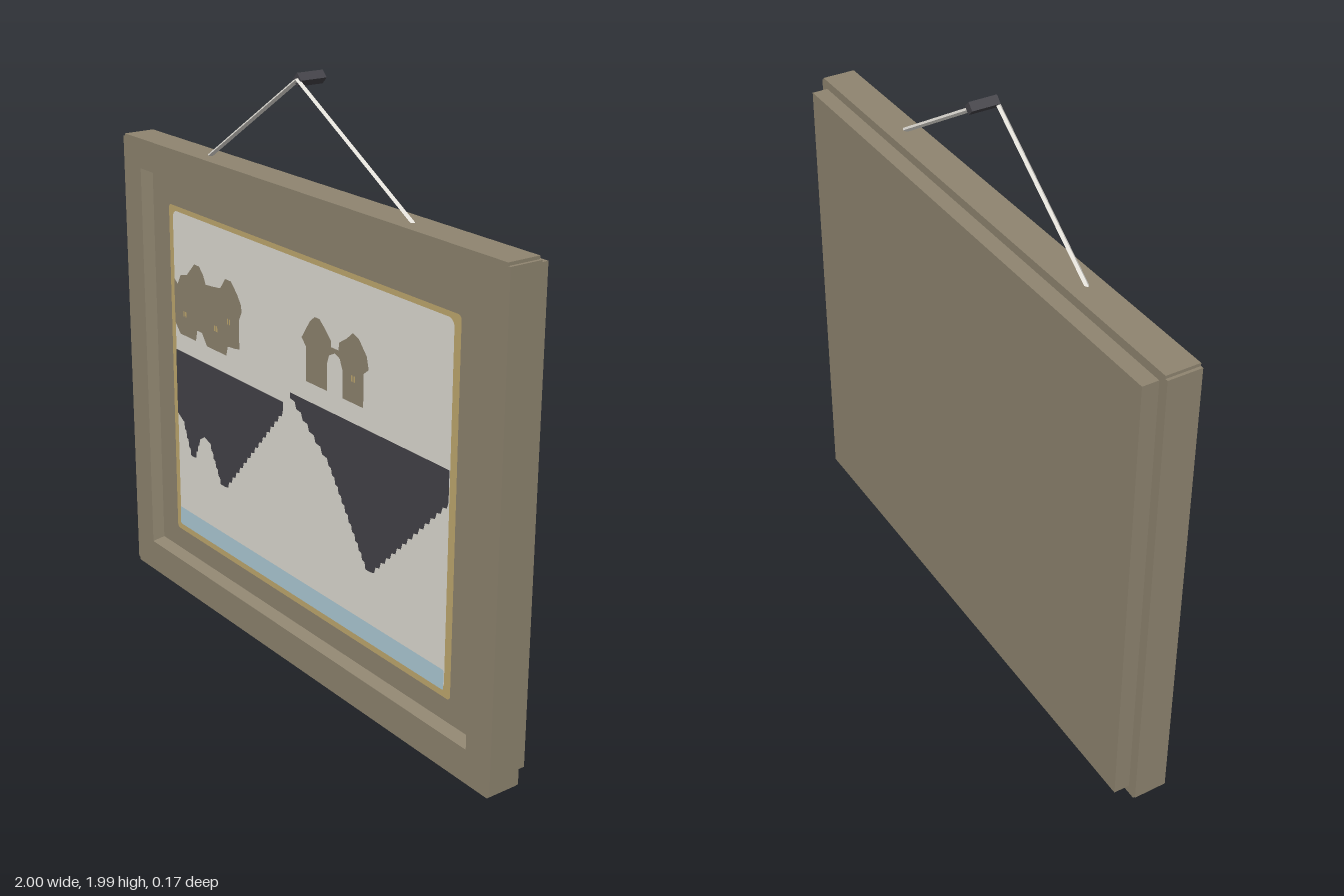
import * as THREE from 'three';

const mat = (name, color) => {
  const m = new THREE.MeshStandardMaterial({ color });
  m.name = name;
  return m;
};

export function createModel() {
  const group = new THREE.Group();
  const wood = mat('taupe wood', 0x8f8570);
  const cream = mat('cream paper', 0xe0ddd4);
  const gold = mat('dull gold', 0xc2aa70);
  const dark = mat('charcoal', 0x444349);
  const water = mat('pale blue', 0xafcdd8);
  const wire = mat('light grey wire', 0xe0ddd6);

  const add = (name, geometry, material, x = 0, y = 0, z = 0) => {
    const m = new THREE.Mesh(geometry, material);
    m.name = name;
    m.position.set(x, y, z);
    group.add(m);
    return m;
  };

  // Rounded rectangle centred on x = 0
  const rect = (hw, y0, y1, r) => {
    const corners = [[hw - r, y0 + r, -90], [hw - r, y1 - r, 0], [-hw + r, y1 - r, 90], [-hw + r, y0 + r, 180]];
    const pts = [];
    for (const [x, y, a] of corners) {
      for (let i = 0; i <= 5; i++) {
        const t = THREE.MathUtils.degToRad(a + 18 * i);
        pts.push(new THREE.Vector2(x + r * Math.cos(t), y + r * Math.sin(t)));
      }
    }
    return new THREE.Shape(pts);
  };

  // Points are given in hundredths
  const poly = (pts) => new THREE.Shape(pts.map(([x, y]) => new THREE.Vector2(x / 100, y / 100)));

  // Outer frame with small notched corners and its opening
  const outline = poly([[-99, 0], [99, 0], [99, 1], [100, 1], [100, 163], [99, 163], [99, 164],
    [-99, 164], [-99, 163], [-100, 163], [-100, 1], [-99, 1]]);
  const hole = [[-0.89, 0.115], [-0.89, 1.535], [0.89, 1.535], [0.89, 0.115]];
  outline.holes.push(new THREE.Path(hole.map(([x, y]) => new THREE.Vector2(x, y))));
  add('frame', new THREE.ExtrudeGeometry(outline, { depth: 0.114, bevelEnabled: false }), wood, 0, 0, -0.03);

  // Sloping lip between the frame face and the panel
  const lip = [];
  const inner = hole.map(([x, y]) => [x - 0.015 * Math.sign(x), y + (y < 0.8 ? 0.015 : -0.015)]);
  for (let i = 0; i < 4; i++) {
    const j = (i + 1) % 4;
    const a = [...hole[i], 0.084], b = [...hole[j], 0.084];
    const c = [...inner[j], 0.045], d = [...inner[i], 0.045];
    lip.push(...a, ...c, ...b, ...a, ...d, ...c);
  }
  const lipGeo = new THREE.BufferGeometry();
  lipGeo.setAttribute('position', new THREE.Float32BufferAttribute(lip, 3));
  lipGeo.computeVertexNormals();
  add('frameLip', lipGeo, wood);

  // Panel inside the frame and the backing board
  add('panel', new THREE.BoxGeometry(1.78, 1.42, 0.074), wood, 0, 0.825, 0.008);
  add('backBoard', new THREE.BoxGeometry(1.93, 1.578, 0.056), wood, 0, 0.821, -0.057);

  // Painting: gold border, paper and water
  const flat = (name, shape, material, z) => add(name, new THREE.ShapeGeometry(shape), material, 0, 0, z);
  flat('goldBorder', rect(0.77, 0.21, 1.43, 0.015), gold, 0.047);
  flat('paper', rect(0.743, 0.235, 1.413, 0.025), cream, 0.049);
  flat('water', rect(0.742, 0.235, 0.303, 0.006), water, 0.051);

  // Stepped edges for sloping sides
  const stepped = (pts) => {
    const out = [];
    pts.forEach(([x, y], i) => {
      const [u, v] = pts[(i + 1) % pts.length];
      const n = u === x || v === y ? 1 : Math.max(1, Math.round(Math.abs(v - y) / 2.7));
      for (let k = 0; k < n; k++) {
        const px = x + (u - x) * k / n, py = y + (v - y) * k / n;
        out.push([px, py]);
        if (n > 1) out.push([px + (u - x) * 0.75 / n, py + (v - y) * 0.15 / n]);
      }
    });
    return poly(out);
  };
  flat('leftFloatingIsland', stepped([[-74.2, 91], [-74.2, 67], [-71, 65], [-66, 53], [-63.5, 53], [-60, 61],
    [-57, 63], [-54, 62], [-47, 48.5], [-44, 48.5], [-9, 88], [-9, 91]]), dark, 0.051);
  flat('rightFloatingIsland', stepped([[-5, 95.5], [-5, 93.5], [16, 77], [35.5, 48.5], [38, 48.5], [74.2, 85.5],
    [74.2, 95.5]]), dark, 0.051);

  // House silhouettes
  flat('leftHouses', poly([[-74.2, 117], [-72, 115.5], [-70, 119], [-66, 120], [-63, 123], [-61, 125], [-58, 125],
    [-55.5, 122.5], [-54, 119.5], [-49, 120], [-45, 120.5], [-42, 124.5], [-38.5, 124.5], [-35, 121],
    [-32.5, 117.5], [-32.5, 115], [-34, 112], [-34, 102], [-36, 101.5], [-41, 101], [-42, 97.5], [-54, 97.5],
    [-57, 101.5], [-60, 101.5], [-61, 97.5], [-71, 97.5], [-74.2, 101]]), wood, 0.051);
  flat('rightHouses', poly([[1.5, 116], [6, 122.5], [8.5, 124.5], [11, 124.5], [14, 122], [17, 119], [17, 117],
    [21, 117], [21, 119.5], [25, 122], [28, 124.5], [31, 123.5], [35, 119], [36, 115], [33.5, 113], [33.5, 102],
    [23, 102], [23, 111], [21.5, 114.5], [19, 115.5], [16, 114], [15, 111], [15, 102], [4, 102], [4, 113.5]]),
  wood, 0.051);
  for (const [x, y] of [[-0.4, 1.1], [-0.675, 1.055], [-0.48, 1.055], [0.285, 1.1]]) {
    for (const s of [-1, 1]) add('window', new THREE.PlaneGeometry(0.008, 0.02), gold, x + s * 0.006, y, 0.053);
  }

  // Hanging wires
  const top = new THREE.Vector3(0, 1.97, 0.053);
  for (const side of [-1, 1]) {
    const end = new THREE.Vector3(side * 0.535, 1.635, 0.03);
    const dir = top.clone().sub(end);
    const geo = new THREE.CylinderGeometry(0.008, 0.008, dir.length(), 4).toNonIndexed();
    geo.computeVertexNormals();
    const m = add(side > 0 ? 'leftWire' : 'rightWire', geo, wire);
    m.position.copy(end).addScaledVector(dir, 0.5);
    m.quaternion.setFromUnitVectors(new THREE.Vector3(0, 1, 0), dir.normalize());
  }

  // Four-sided peg the wires hang from
  const pegGeo = new THREE.CylinderGeometry(0.021, 0.021, 0.095, 4).rotateX(Math.PI / 2).toNonIndexed();
  pegGeo.computeVertexNormals();
  add('peg', pegGeo, dark, 0, 1.97, 0.007);

  return group;
}
